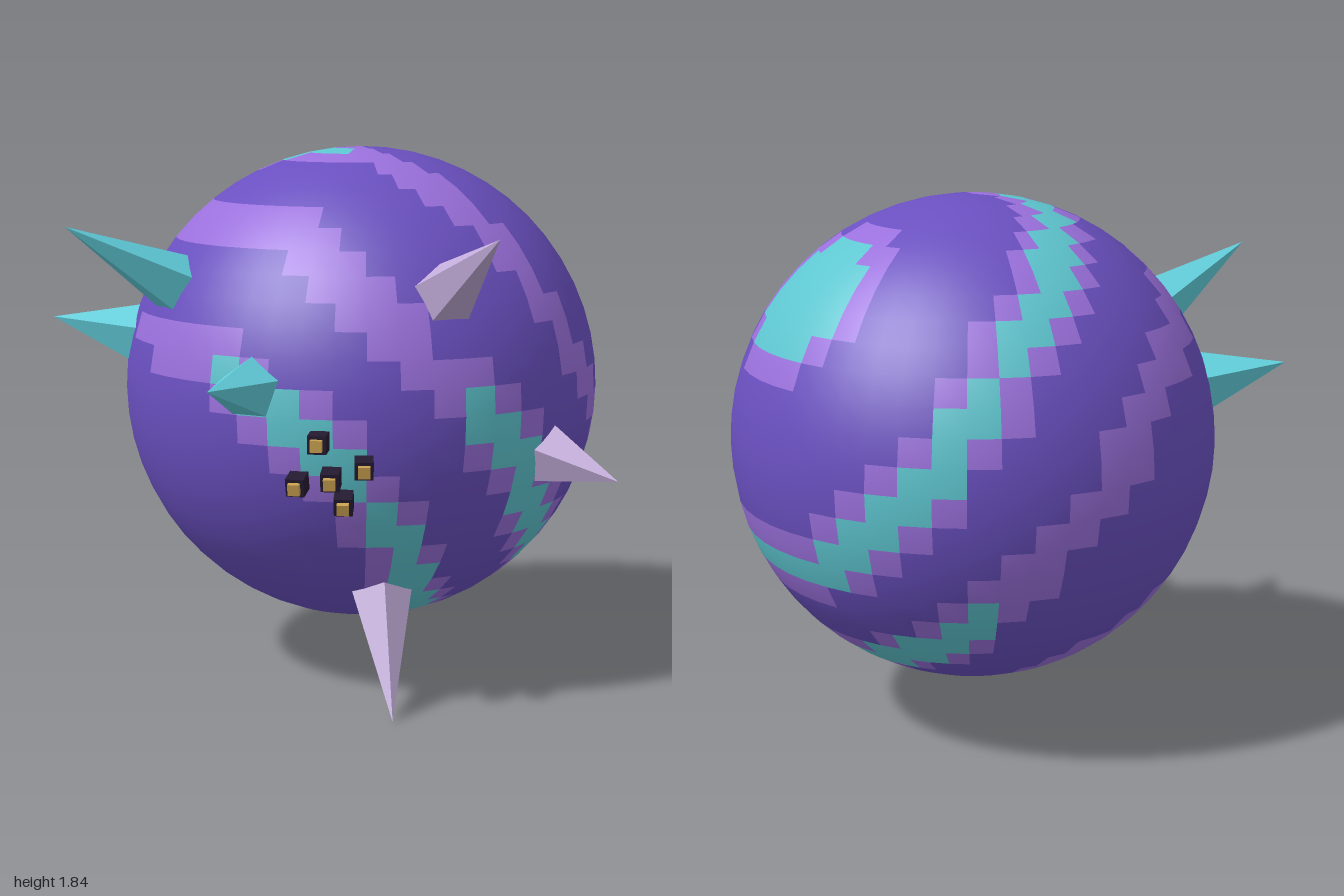
import * as THREE from 'three';

const R = 0.83, COLS = 48, ROWS = 28;
const rad = THREE.MathUtils.degToRad;
const mat = (name, color) => {
  const m = new THREE.MeshStandardMaterial({ color });
  m.name = name;
  return m;
};

// Unit vector from longitude (0 = front, 90 = model's left, +x) and latitude in degrees
const dirAt = (lon, lat) => new THREE.Vector3().setFromSphericalCoords(1, rad(90 - lat), rad(lon));

// Spots of paint along a curve of [longitude, latitude] points; teal runs between two point indices
function paintBand(points, closed, tealFrom, tealTo) {
  const curve = new THREE.CatmullRomCurve3(points.map(p => dirAt(...p)), closed);
  const spans = closed ? points.length : points.length - 1, spots = [];
  for (let k = 0; k <= spans * 10; k++) {
    const i = k / 10, inTeal = i >= tealFrom && i <= tealTo;
    spots.push({
      dir: curve.getPoint(i / spans).normalize(),
      lilac: rad(inTeal ? 8.5 : 5.6),
      teal: rad(inTeal ? 4.3 : 0),
    });
  }
  return spots;
}

function paintSpots() {
  return [
    // ring up the back, over the top and down the left side
    ...paintBand([[118, -21], [136, -23], [158, -20.5], [172, -11], [186, 3], [203, 26], [214, 39], [227, 53],
      [248, 66], [279, 75], [335, 80], [45, 61], [60, 37], [70, 18], [86, -2], [107, -15]], true, 0, 10),
    // ring round the lower back, up the right side and across the front
    ...paintBand([[41, 3], [56, -16], [71, -34], [97, -48], [120, -54.5], [155, -54], [178, -46], [198, -30],
      [214, -15], [238, 12], [249, 24], [264, 29], [288, 43], [325, 46], [355, 43], [9, 32], [27, 14]], true, 0, 7),
    // band down the front and under the bottom
    ...paintBand([[-52, 16], [-36, 13], [-18, 8.5], [-2, -3], [12, -16], [22, -30], [34, -53], [60, -76],
      [140, -84.7], [210, -77], [232, -58], [262, -38]], false, 2, 9),
    // round patch on the upper back
    { dir: dirAt(135.5, 41.5), lilac: rad(22.5), teal: rad(16.7) },
  ];
}

// Smooth sphere whose grid cells are sorted into three colour groups
function paintedSphere() {
  const geo = new THREE.SphereGeometry(R, COLS, ROWS);
  const spots = paintSpots(), lists = [[], [], []], w = COLS + 1;
  for (let iy = 0; iy < ROWS; iy++) {
    for (let ix = 0; ix < COLS; ix++) {
      const cell = dirAt((ix + 0.5) * 360 / COLS - 90, 90 - (iy + 0.5) * 180 / ROWS);
      let tone = 0;
      for (const s of spots) {
        const angle = cell.angleTo(s.dir);
        if (angle < s.teal) { tone = 2; break; }
        if (angle < s.lilac) tone = 1;
      }
      const b = iy * w + ix, a = b + 1, c = b + w, d = c + 1;
      if (iy > 0) lists[tone].push(a, b, d);
      if (iy < ROWS - 1) lists[tone].push(b, c, d);
    }
  }
  geo.setIndex(lists.flat());
  let start = 0;
  lists.forEach((l, i) => { geo.addGroup(start, l.length, i); start += l.length; });
  return geo;
}

export function createModel() {
  const violet = mat('violet', 0x6a50c0), lilac = mat('lilac', 0x9a70dc), teal = mat('teal', 0x5ec6d0);
  const tealSpike = mat('spikeTeal', 0x62d0de), paleSpike = mat('spikePale', 0xc2acda);
  const dark = mat('darkBlock', 0x241a30), gold = mat('gold', 0xc8a050);
  tealSpike.flatShading = paleSpike.flatShading = true;

  const model = new THREE.Group();
  model.name = 'spikedPlanet';
  const globe = new THREE.Group();
  globe.name = 'globe';
  globe.position.set(0.02, 1.013, -0.12);
  model.add(globe);

  const sphere = new THREE.Mesh(paintedSphere(), [violet, lilac, teal]);
  sphere.name = 'sphere';
  globe.add(sphere);

  // Five-sided spikes, given by their tips relative to the globe's centre
  const base = 0.805;
  const spikes = [
    [-0.795, 0.59, 0.785, tealSpike], [-1.02, 0.242, 0.355, tealSpike], [-0.225, 0.115, 1.07, tealSpike],
    [0.65, 0.587, 0.91, paleSpike], [0.97, -0.228, 0.455, paleSpike], [0.283, -1.01, 0.72, paleSpike],
  ];
  spikes.forEach(([x, y, z, m], i) => {
    const tip = new THREE.Vector3(x, y, z), h = tip.length() - base;
    const geo = new THREE.ConeGeometry(0.11, h, 5);
    geo.rotateY(Math.PI).rotateX(Math.PI / 2).translate(0, 0, h / 2);
    const spike = new THREE.Mesh(geo, m);
    spike.name = 'spike' + (i + 1);
    spike.position.copy(tip).setLength(base);
    spike.lookAt(tip.clone().multiplyScalar(5));
    globe.add(spike);
  });

  // Cluster of small dark blocks with gold ends
  const blocks = [[0.07, -0.068], [0.21, -0.148], [0.105, -0.188], [-0.005, -0.208], [0.14, -0.268]];
  blocks.forEach(([x, y], i) => {
    const out = new THREE.Vector3(x, y, Math.sqrt(0.86 * 0.86 - x * x - y * y));
    const block = new THREE.Group();
    block.name = 'block' + (i + 1);
    const body = new THREE.Mesh(new THREE.BoxGeometry(0.06, 0.06, 0.065), dark);
    body.name = 'blockBody';
    const end = new THREE.Mesh(new THREE.BoxGeometry(0.038, 0.038, 0.03), gold);
    end.name = 'blockEnd';
    end.position.z = 0.035;
    block.add(body, end);
    block.position.copy(out);
    block.lookAt(out.clone().multiplyScalar(5));
    globe.add(block);
  });

  return model;
}
